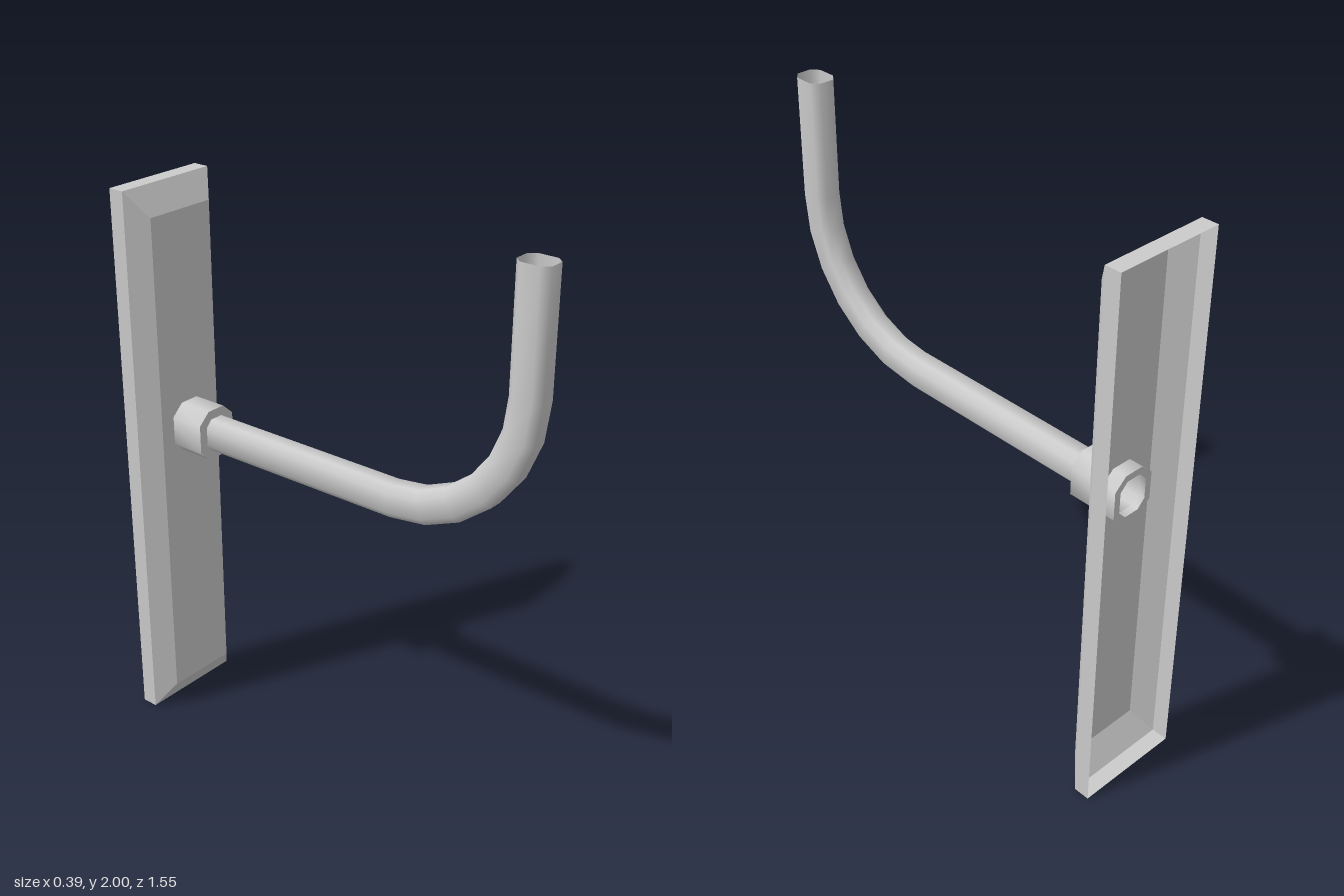
import * as THREE from 'three';
import { toCreasedNormals } from 'three/addons/utils/BufferGeometryUtils.js';

const material = new THREE.MeshStandardMaterial({ color: 0xcccccc, side: THREE.DoubleSide });
const AXIS_Y = 1.113; // height of the arm's straight run

// Chamfered rectangle: half width, half height and the half lengths of the flats
function octagon(w, h, fw, fh) {
  return [[w, -fh], [w, fh], [fw, h], [-fw, h], [-w, fh], [-w, -fh], [-fw, -h], [fw, -h]];
}

function rectangle(w, h) {
  return [[w, -h], [w, h], [-w, h], [-w, -h]];
}

// Places a section at (y, z), tilted up by angle a from facing +z
function ring(section, y, z, a = 0) {
  return section.map(([u, v]) => [u, y + v * Math.cos(a), z - v * Math.sin(a)]);
}

// Open skin through a list of rings with equal point counts
function loft(rings, crease) {
  const n = rings[0].length;
  const index = [];
  for (let i = 0; i < rings.length - 1; i++) {
    for (let j = 0; j < n; j++) {
      const k = (j + 1) % n;
      const a = i * n + j, b = i * n + k, c = a + n, d = b + n;
      index.push(a, b, d, a, d, c);
    }
  }
  const geometry = new THREE.BufferGeometry();
  geometry.setAttribute('position', new THREE.Float32BufferAttribute(rings.flat(2), 3));
  geometry.setIndex(index);
  return toCreasedNormals(geometry, crease);
}

function addMesh(parent, name, geometry) {
  const mesh = new THREE.Mesh(geometry, material);
  mesh.name = name;
  parent.add(mesh);
  return mesh;
}

export function createModel() {
  const model = new THREE.Group();
  model.name = 'wallHook';

  const armSection = octagon(0.047, 0.058, 0.025, 0.033);
  const collarSection = octagon(0.08, 0.09, 0.036, 0.05);
  const boreSection = octagon(0.056, 0.066, 0.028, 0.037);

  // Wall plate: hollow tray with bevelled edges, open at the back
  const plate = new THREE.Group();
  plate.name = 'wallPlate';
  model.add(plate);
  const midY = 0.985;
  addMesh(plate, 'plateRim', loft([
    ring(rectangle(0.195, 0.985), midY, -0.777),
    ring(rectangle(0.195, 0.985), midY, -0.719),
    ring(rectangle(0.135, 0.895), midY, -0.659),
  ], 0.3));

  // Plate face with an opening for the collar
  const toPoints = (section, y) => section.map(([u, v]) => new THREE.Vector2(u, y + v));
  const face = new THREE.Shape(toPoints(rectangle(0.135, 0.895), midY));
  face.holes.push(new THREE.Path(toPoints(collarSection, AXIS_Y)));
  addMesh(plate, 'plateFace', new THREE.ShapeGeometry(face)).position.z = -0.659;

  // Collar: thick sleeve through the plate, closed around the arm in front
  addMesh(model, 'collar', loft([
    ring(boreSection, AXIS_Y, -0.67),
    ring(boreSection, AXIS_Y, -0.71),
    ring(collarSection, AXIS_Y, -0.71),
    ring(collarSection, AXIS_Y, -0.533),
    ring(armSection, AXIS_Y, -0.533),
  ], 0.9));

  // Arm: open pipe running forward, then bending upward
  const radius = 0.477;
  const bendZ = 0.24;
  const steps = 6;
  const rings = [ring(armSection, AXIS_Y, -0.69)];
  for (let i = 0; i <= steps; i++) {
    const a = (i / steps) * Math.PI / 2;
    rings.push(ring(armSection, AXIS_Y + radius * (1 - Math.cos(a)), bendZ + radius * Math.sin(a), a));
  }
  rings.push(ring(armSection, 2, bendZ + radius, Math.PI / 2));
  addMesh(model, 'hookArm', loft(rings, 0.9));

  return model;
}
